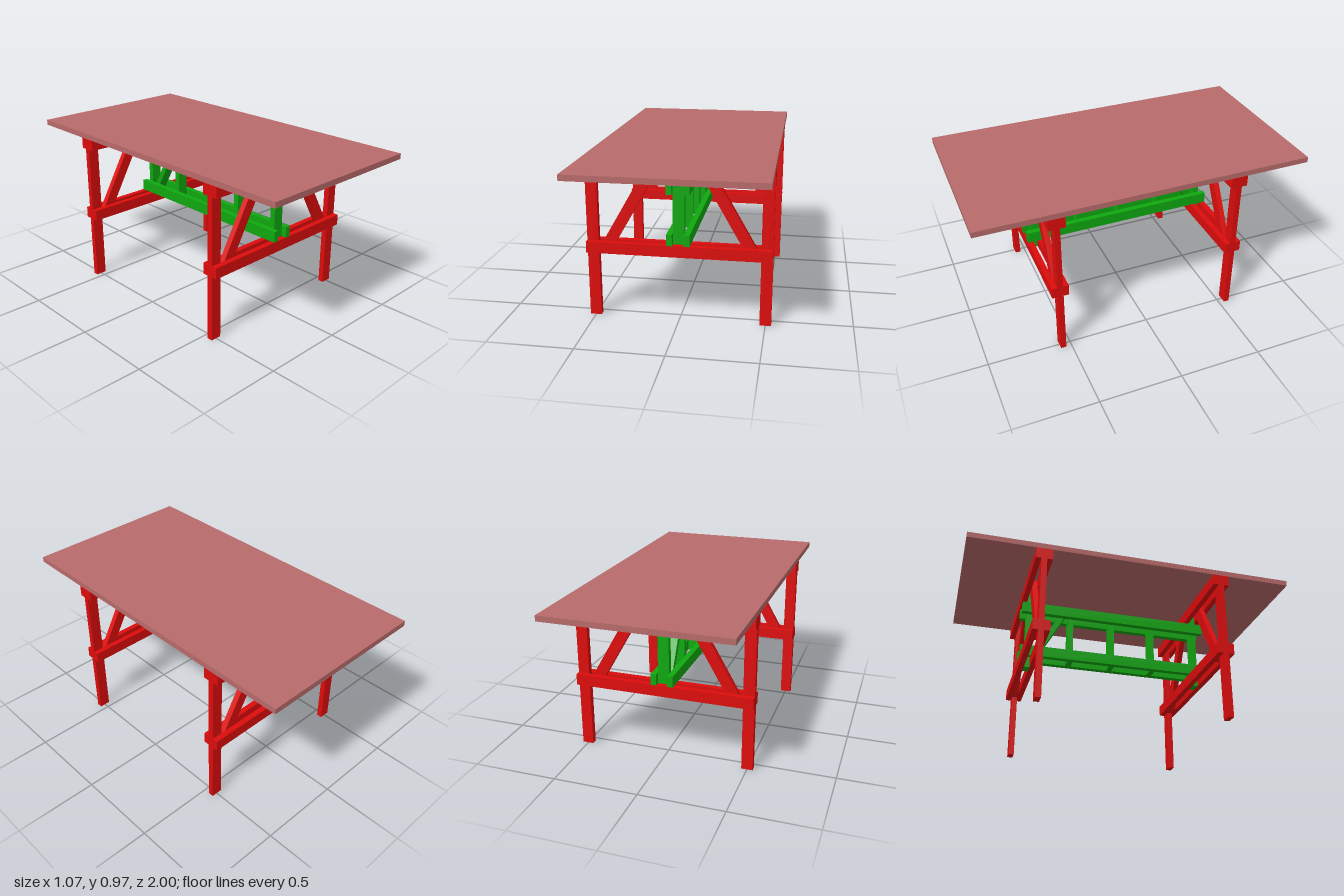
import * as THREE from 'three';

const RED = new THREE.MeshStandardMaterial({ color: 0xdd0c0c });
const GREEN = new THREE.MeshStandardMaterial({ color: 0x0fa80f });
const TOP = new THREE.MeshStandardMaterial({ color: 0xb86a6a });

// Board given by its extents along each axis
function board(parent, name, material, [x0, x1], [y0, y1], [z0, z1]) {
  const mesh = new THREE.Mesh(new THREE.BoxGeometry(x1 - x0, y1 - y0, z1 - z0), material);
  mesh.name = name;
  mesh.position.set((x0 + x1) / 2, (y0 + y1) / 2, (z0 + z1) / 2);
  parent.add(mesh);
  return mesh;
}

// Slanted board with level-cut ends, centred on its thickness
function brace(parent, name, material, [xa, ya], [xb, yb], half, depth) {
  const shape = new THREE.Shape([
    new THREE.Vector2(xa - half, ya), new THREE.Vector2(xa + half, ya),
    new THREE.Vector2(xb + half, yb), new THREE.Vector2(xb - half, yb),
  ]);
  const geometry = new THREE.ExtrudeGeometry(shape, { depth, bevelEnabled: false });
  geometry.translate(0, 0, -depth / 2);
  const mesh = new THREE.Mesh(geometry, material);
  mesh.name = name;
  parent.add(mesh);
  return mesh;
}

const T = 0.0333; // board thickness
const W = 0.0667; // board width
const H = T / 2;
const UNDER = 0.9333; // underside of the top

// End frame: two legs, two braces and paired rails clamping them
function trestle(z) {
  const g = new THREE.Group();
  g.name = 'trestle';
  for (const s of [-1, 1]) {
    const c = s * 0.5;
    board(g, 'leg', RED, [c - H, c + H].map((v, i) => v + (i ? H : -H)), [0, UNDER], [-H, H]);
    brace(g, 'legBrace', RED, [s * 0.438, 0.4], [s * 0.132, UNDER], 0.0375, T);
    for (const y of [0.4, UNDER - W]) {
      const zc = s * T;
      board(g, 'crossRail', RED, [-0.5333, 0.5333], [y, y + W], [zc - H, zc + H]);
    }
  }
  board(g, 'endPost', GREEN, [-T, T], [0.4, UNDER], [-H, H]);
  g.position.z = z;
  return g;
}

// Lengthwise truss joining the trestles
function stretcher() {
  const g = new THREE.Group();
  g.name = 'stretcher';
  for (const s of [-1, 1]) {
    for (const y of [0.4667, 0.7667]) {
      const xc = s * 0.05;
      board(g, 'longRail', GREEN, [xc - H, xc + H], [y, y + W], [-0.6, 0.6]);
    }
  }
  for (const z of [0.255, -0.0135, -0.282]) {
    board(g, 'stretcherPost', GREEN, [-T, T], [0.4667, 0.8333], [z - H, z + H]);
  }
  // Diagonal at the back end, turned to lie along z
  const diagonal = brace(g, 'stretcherBrace', GREEN, [0.518, 0.4667], [0.31, 0.8333], 0.0192, W);
  diagonal.rotation.y = Math.PI / 2;
  return g;
}

export function createModel() {
  const model = new THREE.Group();
  model.name = 'trestleTable';
  board(model, 'tableTop', TOP, [-0.5333, 0.5333], [UNDER, UNDER + T], [-1, 1]);
  for (const z of [-0.55, 0.55]) model.add(trestle(z));
  model.add(stretcher());
  return model;
}
